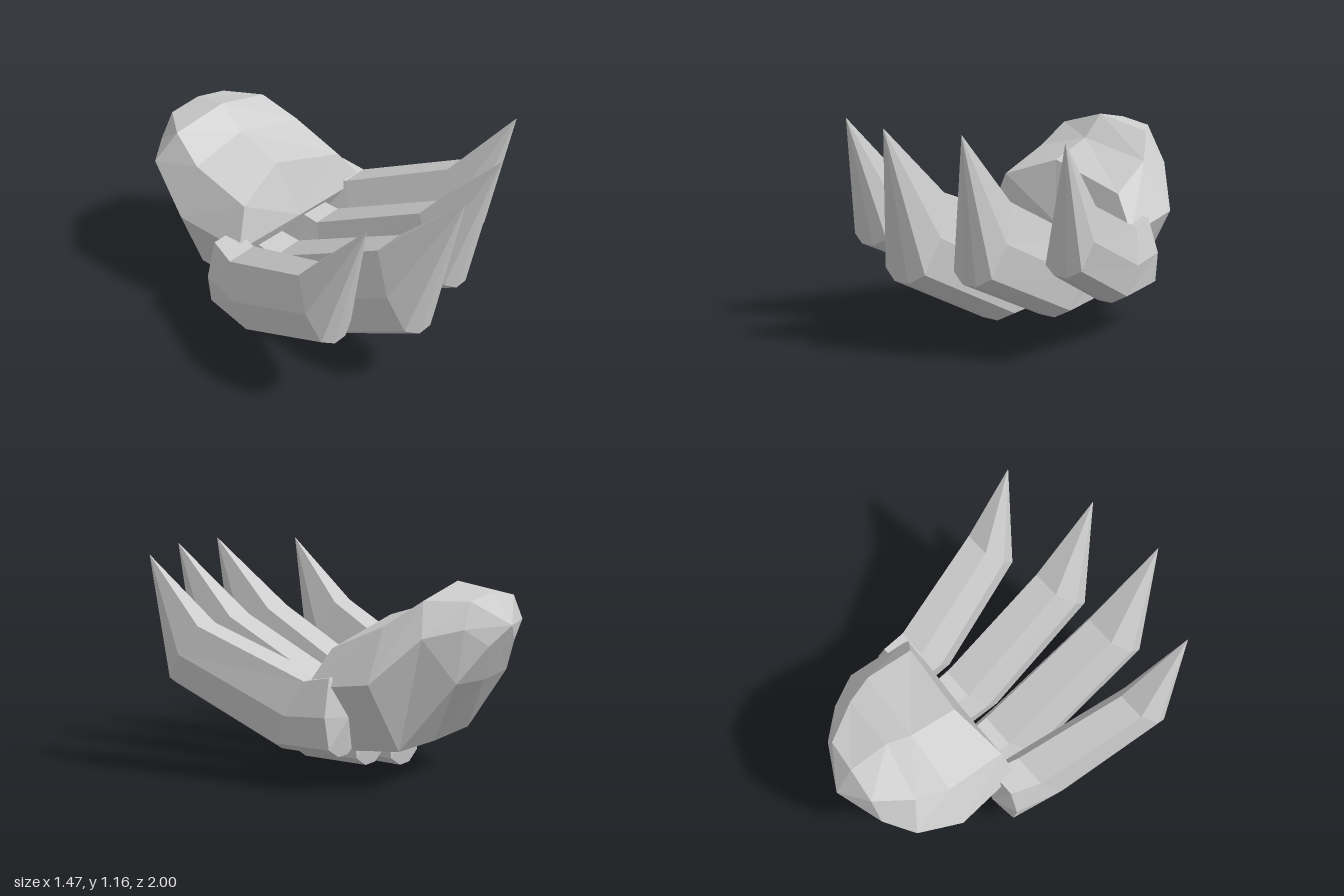
import * as THREE from 'three';

const hide = new THREE.MeshStandardMaterial({ color: 0xcccccc, flatShading: true });
hide.name = 'pale grey';

// Skin rings (counterclockwise seen from the front, ordered front to back), closed by a point at each end
function loft(first, rings, last) {
  const pos = [];
  const tri = (...points) => points.forEach((p) => pos.push(...p));
  const n = rings[0].length;
  for (let j = 0; j < n; j++) {
    const k = (j + 1) % n;
    tri(first, rings[0][j], rings[0][k]);
    for (let i = 0; i < rings.length - 1; i++) {
      const a = rings[i][j], b = rings[i][k], c = rings[i + 1][k], d = rings[i + 1][j];
      tri(a, d, c);
      tri(a, c, b);
    }
    const end = rings[rings.length - 1];
    tri(end[j], last, end[k]);
  }
  const geo = new THREE.BufferGeometry();
  geo.setAttribute('position', new THREE.Float32BufferAttribute(pos, 3));
  geo.computeVertexNormals();
  return geo;
}

// Claw cross-section: [sideways share of half width, share of height]
const SECTION = [
  [0.58, 1], [-0.58, 1], [-1, 0.53], [-0.86, 0.12],
  [-0.3, 0], [0.3, 0], [0.86, 0.12], [1, 0.53],
];

// x = centre, w = half width, bottom and top = [z, y]
function clawRing(x, w, bottom, top) {
  return SECTION.map(([u, t]) => [
    x + u * w,
    bottom[1] + (top[1] - bottom[1]) * t,
    bottom[0] + (top[0] - bottom[0]) * t,
  ]);
}

// Pointed tip, three rings and a blunt rear end
function claw({ tip, knuckle, bend, back }) {
  const rings = [knuckle, bend, back].map((r) => clawRing(...r));
  const [x, , b, t] = back;
  return loft(tip, rings, [x, (b[1] + t[1]) / 2, (b[0] + t[0]) / 2 - 0.05]);
}

const CLAWS = {
  outerRightClaw: {
    tip: [-0.595, 1.14, 0.78],
    knuckle: [-0.605, 0.13, [0.64, 0.45], [0.44, 0.78]],
    bend: [-0.475, 0.155, [0.03, 0.14], [-0.13, 0.53]],
    back: [-0.43, 0.14, [-0.3, 0.14], [-0.29, 0.55]],
  },
  innerRightClaw: {
    tip: [-0.14, 1.16, 1],
    knuckle: [-0.19, 0.15, [0.845, 0.365], [0.6, 0.78]],
    bend: [-0.17, 0.165, [0.16, 0], [-0.09, 0.42]],
    back: [-0.17, 0.15, [-0.28, 0], [-0.26, 0.44]],
  },
  innerLeftClaw: {
    tip: [0.27, 1.16, 0.925],
    knuckle: [0.195, 0.135, [0.79, 0.4], [0.56, 0.78]],
    bend: [0.165, 0.155, [0.1, 0.065], [-0.09, 0.46]],
    back: [0.16, 0.14, [-0.28, 0.07], [-0.26, 0.48]],
  },
  outerLeftClaw: {
    tip: [0.705, 1.14, 0.725],
    knuckle: [0.61, 0.12, [0.62, 0.475], [0.43, 0.79]],
    bend: [0.475, 0.14, [0.02, 0.18], [-0.15, 0.55]],
    back: [0.46, 0.135, [-0.32, 0.18], [-0.29, 0.58]],
  },
};

// Palm rings, front to back
const PALM = [
  [[-0.04, 0.825, -0.27], [-0.35, 0.72, -0.22], [-0.43, 0.5, -0.19], [-0.33, 0.19, -0.33],
    [0, 0.18, -0.33], [0.38, 0.19, -0.33], [0.53, 0.51, -0.14], [0.4, 0.7, -0.21]],
  [[-0.03, 0.91, -0.54], [-0.35, 0.83, -0.56], [-0.47, 0.56, -0.58], [-0.34, 0.21, -0.57],
    [0, 0.2, -0.57], [0.34, 0.21, -0.57], [0.54, 0.57, -0.52], [0.38, 0.83, -0.5]],
  [[-0.02, 1.03, -0.68], [-0.31, 0.95, -0.74], [-0.41, 0.79, -0.82], [-0.27, 0.56, -0.83],
    [0, 0.55, -0.85], [0.24, 0.56, -0.83], [0.38, 0.79, -0.72], [0.29, 0.96, -0.67]],
  [[0, 0.99, -0.89], [-0.18, 0.96, -0.91], [-0.26, 0.83, -0.92], [-0.14, 0.74, -0.94],
    [0, 0.72, -0.94], [0.12, 0.74, -0.94], [0.24, 0.83, -0.87], [0.18, 0.96, -0.87]],
];

export function createModel() {
  const group = new THREE.Group();
  group.name = 'clawedPaw';
  const add = (name, geo) => {
    const mesh = new THREE.Mesh(geo, hide);
    mesh.name = name;
    group.add(mesh);
  };
  add('palm', loft([0.03, 0.5, -0.17], PALM, [0, 0.835, -1]));
  for (const [name, spec] of Object.entries(CLAWS)) add(name, claw(spec));
  return group;
}
